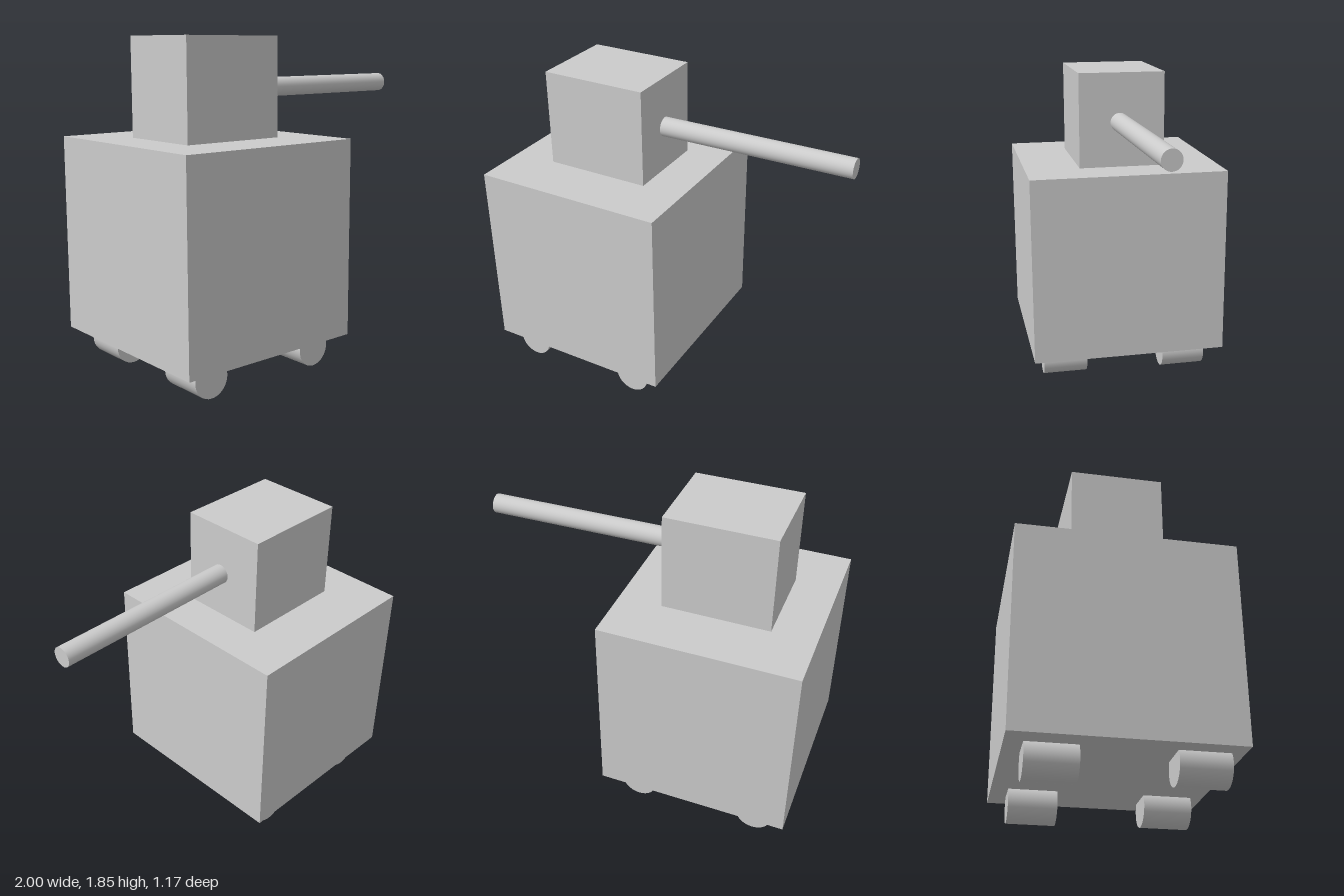
import * as THREE from 'three';

const material = new THREE.MeshStandardMaterial({ color: 0xcccccc });

// Box given by its lower and upper corners
function box(name, min, max) {
  const size = max.map((v, i) => v - min[i]);
  const mesh = new THREE.Mesh(new THREE.BoxGeometry(...size), material);
  mesh.position.set(...max.map((v, i) => (v + min[i]) / 2));
  mesh.name = name;
  return mesh;
}

// Capped cylinder running from point a to point b
function rod(name, a, b, radius) {
  const start = new THREE.Vector3(...a);
  const end = new THREE.Vector3(...b);
  const dir = end.clone().sub(start);
  const mesh = new THREE.Mesh(new THREE.CylinderGeometry(radius, radius, dir.length(), 32), material);
  mesh.position.copy(start).add(end).multiplyScalar(0.5);
  mesh.quaternion.setFromUnitVectors(new THREE.Vector3(0, 1, 0), dir.normalize());
  mesh.name = name;
  return mesh;
}

export function createModel() {
  const model = new THREE.Group();
  model.name = 'wheeledTurret';

  // Hull and the smaller block on top
  model.add(box('body', [-1, 0.17, -0.583], [0.12, 1.29, 0.583]));
  model.add(box('turret', [-0.75, 1.29, -0.257], [-0.13, 1.85, 0.257]));

  // Barrel, very slightly askew
  model.add(rod('barrel', [-0.127, 1.558, 0.014], [0.999, 1.562, -0.006], 0.056));

  // Four rollers, partly sunk into the hull
  for (const [side, x] of [['Right', -0.81], ['Left', -0.087]]) {
    model.add(rod(`frontWheel${side}`, [x, 0.118, 0.25], [x, 0.118, 0.515], 0.103));
    model.add(rod(`backWheel${side}`, [x + 0.008, 0.106, -0.49], [x + 0.008, 0.106, -0.225], 0.103));
  }
  return model;
}
